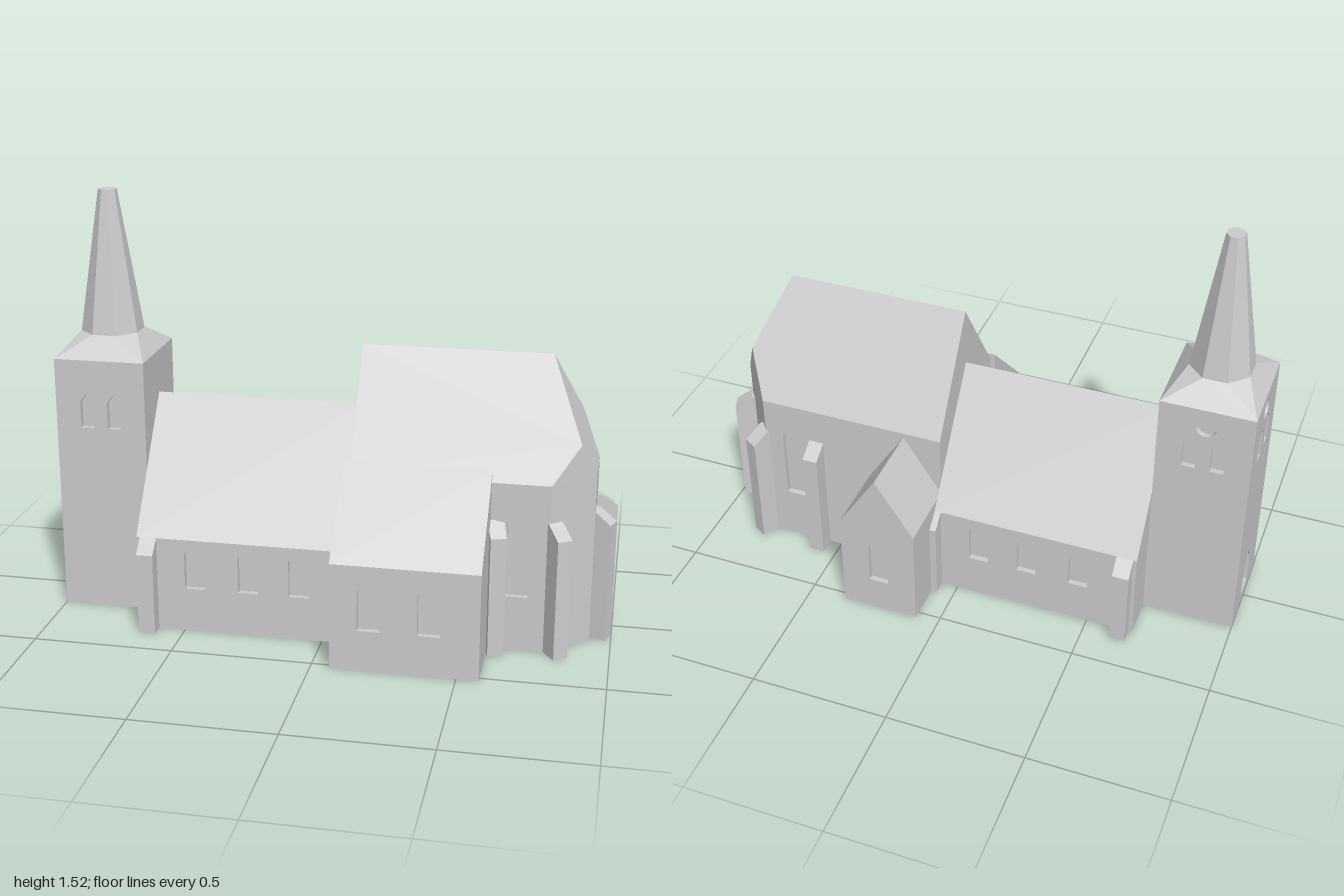
import * as THREE from 'three';
import { ConvexGeometry } from 'three/addons/geometries/ConvexGeometry.js';

const T = 0.02; // depth of window recesses
const stone = new THREE.MeshStandardMaterial({ color: 0xcccccc });
stone.name = 'pale stone';

const shapeOf = (pts) => new THREE.Shape(pts.map(([a, b]) => new THREE.Vector2(a, b)));
const extrude = (shape, depth) => new THREE.ExtrudeGeometry(shape, { depth, bevelEnabled: false });
const rect = (a, b, h) => [[a, 0], [b, 0], [b, h], [a, h]];

// Pointed opening centred on u, from y0 to y1
function lancet(u, y0, y1, w) {
  const s = y1 - w * 0.6, h = w / 2;
  return shapeOf([[u - h, y0], [u + h, y0], [u + h, s], [u, y1], [u - h, s]]);
}

function roundel(u, y, r) {
  return new THREE.Shape().absarc(u, y, r, 0, Math.PI * 2, false);
}

// Outer wall layer with openings; its outer face looks along local +z
function wall(outline, openings, x, z, turn = 0) {
  const shape = shapeOf(outline);
  shape.holes.push(...openings);
  return extrude(shape, T).rotateY(turn).translate(x, 0, z);
}

// Profile in (z, y) swept from x0 to x1
function sweepX(profile, x0, x1) {
  return extrude(shapeOf(profile), x1 - x0).rotateY(-Math.PI / 2).translate(x1, 0, 0);
}

// Buttress with a sloping top, pointing out from (x, z) at an angle from +x toward +z
function buttressGeometry(x, z, degrees, out, high, low, w = 0.056) {
  const g = extrude(shapeOf([[-0.05, 0], [out, 0], [out, low], [0, high], [-0.05, high]]), w);
  return g.translate(0, 0, -w / 2).rotateY(-degrees * Math.PI / 180).translate(x, 0, z);
}

export function createModel() {
  const model = new THREE.Group();
  model.name = 'church';
  const group = (name) => {
    const g = new THREE.Group();
    g.name = name;
    model.add(g);
    return g;
  };
  const add = (parent, name, geometry) => {
    const mesh = new THREE.Mesh(geometry, stone);
    mesh.name = name;
    parent.add(mesh);
  };

  // Tower
  const tower = group('tower');
  const cx = -0.835, hw = 0.165, hz = 0.177, towerH = 0.94;
  const pair = () => [-0.05, 0.05].map((u) => lancet(u, 0.69, 0.815, 0.048));
  const rose = () => roundel(0, 0.868, 0.036);
  add(tower, 'towerCore', new THREE.BoxGeometry(2 * hw - T, towerH, 2 * (hz - T))
    .translate(cx + T / 2, towerH / 2, 0));
  add(tower, 'towerFrontWall', wall(rect(-hw, hw, towerH), pair(), cx, hz - T));
  add(tower, 'towerBackWall', wall(rect(-hw, hw, towerH), [...pair(), rose()], cx, T - hz, Math.PI));
  add(tower, 'towerDoorWall', wall(rect(T - hz, hz - T, towerH),
    [...pair(), rose(), lancet(0, 0.04, 0.22, 0.095)], T - 1, 0, -Math.PI / 2));

  // Tower roof runs from a square up to the octagonal spire
  const roofPoints = [];
  for (const sx of [-1, 1]) for (const sz of [-1, 1])
    roofPoints.push(new THREE.Vector3(cx + sx * hw, towerH, sz * hz));
  for (let i = 0; i < 8; i++) {
    const a = (i + 0.5) * Math.PI / 4;
    roofPoints.push(new THREE.Vector3(cx + 0.113 * Math.cos(a), 1.015, 0.113 * Math.sin(a)));
  }
  add(tower, 'towerRoof', new ConvexGeometry(roofPoints));
  const spire = new THREE.CylinderGeometry(0.033, 0.113, 0.51, 8, 1, false, Math.PI / 8).toNonIndexed();
  spire.computeVertexNormals();
  add(tower, 'spire', spire.translate(cx, 1.27, 0));

  // Nave with a steep roof and three windows on each side
  const nave = group('nave');
  const nz = 0.325, ni = nz - T, eave = 0.345;
  add(nave, 'naveBody', sweepX([[-ni, 0], [ni, 0], [ni, eave], [nz, eave], [0, 0.785],
    [-nz, eave], [-ni, eave]], -0.67, 0.085));
  for (const s of [1, -1]) {
    const outline = rect(-0.67 * s, 0.085 * s, eave);
    const windows = [-0.46, -0.265, -0.083].map((x) => lancet(x * s, 0.16, 0.336, 0.072));
    add(nave, 'naveWall', wall(outline, windows, 0, s * ni, s > 0 ? 0 : Math.PI));
    for (const x of [-0.627, 0.092])
      add(nave, 'naveButtress', buttressGeometry(x, s * nz, s * 90, 0.052, eave, 0.297, 0.06));
  }

  // Choir with a faceted end
  const choir = group('choir');
  const cz = 0.262, ci = cz - T, choirEave = 0.614;
  const plan = [[0.085, -cz], [0.78, -cz], [0.925, -0.077], [0.925, 0.13], [0.78, cz], [0.085, cz]];
  const corePlan = [[0.085, -ci], [0.78, -ci], ...plan.slice(1, 5), [0.78, ci], [0.085, ci]];
  add(choir, 'choirCore', extrude(shapeOf(corePlan), choirEave).rotateX(Math.PI / 2)
    .translate(0, choirEave, 0));
  add(choir, 'choirRoof', new ConvexGeometry([
    ...plan.map(([x, z]) => new THREE.Vector3(x, choirEave, z)),
    new THREE.Vector3(0.871, 0.739, 0.179), new THREE.Vector3(0.859, 0.766, -0.161),
    new THREE.Vector3(0.085, 1.005, 0), new THREE.Vector3(0.755, 1.005, 0),
  ]));
  for (const s of [1, -1])
    add(choir, 'choirWall', wall(rect(0.085 * s, 0.78 * s, choirEave),
      [lancet(0.672 * s, 0.2, 0.52, 0.078)], 0, s * ci, s > 0 ? 0 : Math.PI));
  const choirButtresses = [[0.595, 0.26, 75], [0.575, -0.26, -90], [0.797, 0.25, 55],
    [0.793, -0.25, -60], [0.928, 0.083, 20], [0.928, -0.078, -20]];
  for (const [x, z, a] of choirButtresses)
    add(choir, 'choirButtress', buttressGeometry(x, z, a, 0.065, 0.48, 0.435));

  // Front annex under a lean-to roof
  const annex = group('frontAnnex');
  add(annex, 'annexBody', sweepX([[0.247, 0], [0.522 - T, 0], [0.522 - T, 0.383], [0.522, 0.383],
    [0.247, 0.655]], 0.065, 0.577));
  add(annex, 'annexWall', wall(rect(0.065, 0.577, 0.383),
    [0.2, 0.405].map((x) => lancet(x, 0.147, 0.342, 0.078)), 0, 0.522 - T));

  // Gabled porch at the back
  const porch = group('backPorch');
  const gable = [[-0.14, 0], [0.14, 0], [0.14, 0.38], [0, 0.597], [-0.14, 0.38]];
  add(porch, 'porchBody', extrude(shapeOf(gable), 0.275 - T).translate(0.225, 0, T - 0.525));
  add(porch, 'porchWall', wall(gable, [lancet(0, 0.13, 0.33, 0.072)], 0.225, T - 0.525, Math.PI));

  return model;
}
